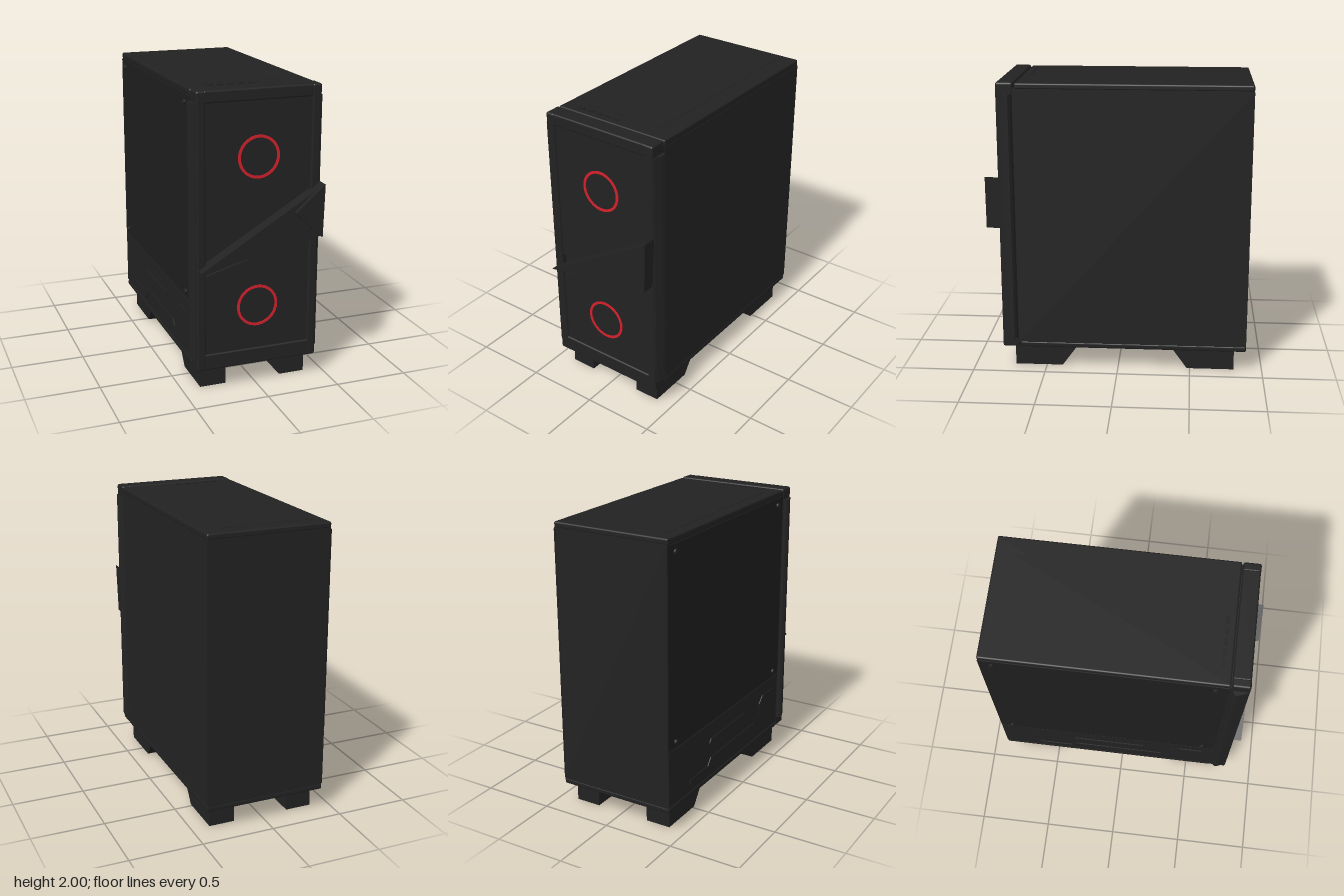
import * as THREE from 'three';
import { RoundedBoxGeometry } from 'three/addons/geometries/RoundedBoxGeometry.js';

export function createModel() {
  const group = new THREE.Group();
  const mat = (name, color) => {
    const m = new THREE.MeshStandardMaterial({ color });
    m.name = name;
    return m;
  };
  const black = mat('case black', 0x222222);
  const dark = mat('dark glass', 0x1e1e1e);
  const red = mat('red light', 0xd2202b);

  const add = (name, geometry, material = black) => {
    const mesh = new THREE.Mesh(geometry, material);
    mesh.name = name;
    group.add(mesh);
    return mesh;
  };
  // Box given by its limits on each axis, with optional rounded edges
  const box = (name, [x0, x1], [y0, y1], [z0, z1], material = black, r = 0) => {
    const s = [x1 - x0, y1 - y0, z1 - z0];
    const g = r ? new RoundedBoxGeometry(...s, 3, r) : new THREE.BoxGeometry(...s);
    g.translate((x0 + x1) / 2, (y0 + y1) / 2, (z0 + z1) / 2);
    return add(name, g, material);
  };
  const extrude = (pts, depth) => new THREE.ExtrudeGeometry(
    new THREE.Shape(pts.map(p => new THREE.Vector2(...p))), { depth, bevelEnabled: false });
  // Outline in (x, y), pushed from z0 to z1
  const plateZ = (name, pts, z0, z1, material = black) =>
    add(name, extrude(pts, z1 - z0).translate(0, 0, z0), material);
  // Outline in (z, y), pushed from x0 to x1
  const plateX = (name, pts, x0, x1, material = black) =>
    add(name, extrude(pts.map(([z, y]) => [-z, y]), x1 - x0)
      .rotateY(Math.PI / 2).translate(x0, 0, 0), material);
  // Outline in (x, z), pushed from y0 to y1
  const plateY = (name, pts, y0, y1, material = black) =>
    add(name, extrude(pts.map(([x, z]) => [x, -z]), y1 - y0)
      .rotateX(-Math.PI / 2).translate(0, y0, 0), material);

  // Main body with rounded top and bottom slabs
  box('body', [-0.415, 0.417], [0.18, 1.96], [-0.883, 0.69]);
  box('topSlab', [-0.42, 0.42], [1.955, 1.996], [-0.885, 0.676], black, 0.012);
  box('bottomSlab', [-0.42, 0.42], [0.15, 0.19], [-0.885, 0.676], black, 0.012);
  box('rightPanel', [0.41, 0.42], [0.195, 1.95], [-0.885, 0.676]);

  // Top filter plate and the row of buttons and ports
  box('topFilter', [-0.34, 0.3], [1.99, 1.998], [-0.78, 0.55]);
  for (let i = 0; i < 5; i++) {
    const x = -0.27 + i * 0.07;
    box('topPort', [x - 0.02, x + 0.02], [1.99, 2], [0.61, 0.63], dark);
  }

  // Window side: glass, lower cover, raised trims and screws
  box('sideGlass', [-0.421, -0.41], [0.595, 1.95], [-0.885, 0.676], dark);
  box('lowerCover', [-0.42, -0.41], [0.195, 0.588], [-0.885, 0.676]);
  plateX('coverTrim', [[-0.36, 0.44], [-0.34, 0.47], [0.16, 0.47], [0.14, 0.44]], -0.426, -0.418);
  plateX('coverTrim', [[-0.62, 0.24], [-0.34, 0.24], [-0.3, 0.29], [0.33, 0.29],
    [0.3, 0.33], [-0.34, 0.33], [-0.38, 0.28], [-0.62, 0.28]], -0.426, -0.418);
  plateX('coverTrim', [[0.38, 0.36], [0.6, 0.36], [0.6, 0.5], [0.43, 0.5], [0.38, 0.45]], -0.426, -0.418);
  for (const z of [-0.8, 0.59]) for (const y of [0.64, 1.9]) {
    const screw = add('glassScrew', new THREE.CylinderGeometry(0.018, 0.018, 0.02, 20));
    screw.rotation.z = Math.PI / 2;
    screw.position.set(-0.425, y, z);
  }

  // Front frame: rails, top and bottom bars, tapered side fins
  for (const s of [-1, 1]) {
    const xs = s > 0 ? [0.357, 0.42] : [-0.42, -0.357];
    box('frontRail', xs, [0.15, 2], [0.684, 0.8], black, 0.014);
    plateY('sideFin', [[0.41, 0.688], [0.435, 0.7], [0.449, 0.715], [0.445, 0.735],
      [0.425, 0.79], [0.41, 0.79]].map(([x, z]) => [s * x, z]), 0.22, 1.925);
  }
  box('frontTopBar', [-0.37, 0.37], [1.92, 2], [0.684, 0.798], black, 0.012);
  box('frontBottomBar', [-0.37, 0.37], [0.15, 0.262], [0.684, 0.798], black, 0.012);

  // Front panels divided by a slanted wedge-shaped gap
  box('frontBacking', [-0.36, 0.36], [0.25, 1.93], [0.68, 0.765]);
  plateZ('upperFrontPanel', [[-0.36, 0.955], [-0.27, 0.955], [0.36, 1.37], [0.36, 1.925], [-0.36, 1.925]],
    0.75, 0.787);
  plateZ('lowerFrontPanel', [[-0.36, 0.255], [0.36, 0.255], [0.36, 1.0], [-0.36, 0.8]], 0.75, 0.787);

  // Pointed ornament across the front
  plateZ('ornamentBlade', [[-0.41, 0.85], [0.41, 1.01], [0.41, 1.35], [0.34, 1.3]], 0.765, 0.853);
  plateZ('ornamentArrow', [[0.22, 1.19], [0.28, 1.13], [0.41, 1.01], [0.42, 1.365]], 0.765, 0.888);

  // Glowing fan rings
  for (const y of [0.56, 1.56]) {
    const ring = new THREE.Shape().absarc(0, 0, 0.141, 0, Math.PI * 2);
    ring.holes.push(new THREE.Path().absarc(0, 0, 0.123, 0, Math.PI * 2, true));
    const g = new THREE.ExtrudeGeometry(ring, { depth: 0.008, bevelEnabled: false, curveSegments: 48 });
    add('fanRing', g.translate(0, y, 0.784), red);
  }

  // Slanted feet
  for (const x of [-0.373, 0.195]) {
    plateX('frontFoot', [[0.72, 0], [0.72, 0.16], [0.275, 0.16], [0.39, 0]], x, x + 0.178);
    plateX('rearFoot', [[-0.805, 0], [-0.805, 0.16], [-0.365, 0.16], [-0.48, 0]], x, x + 0.178);
  }
  return group;
}
